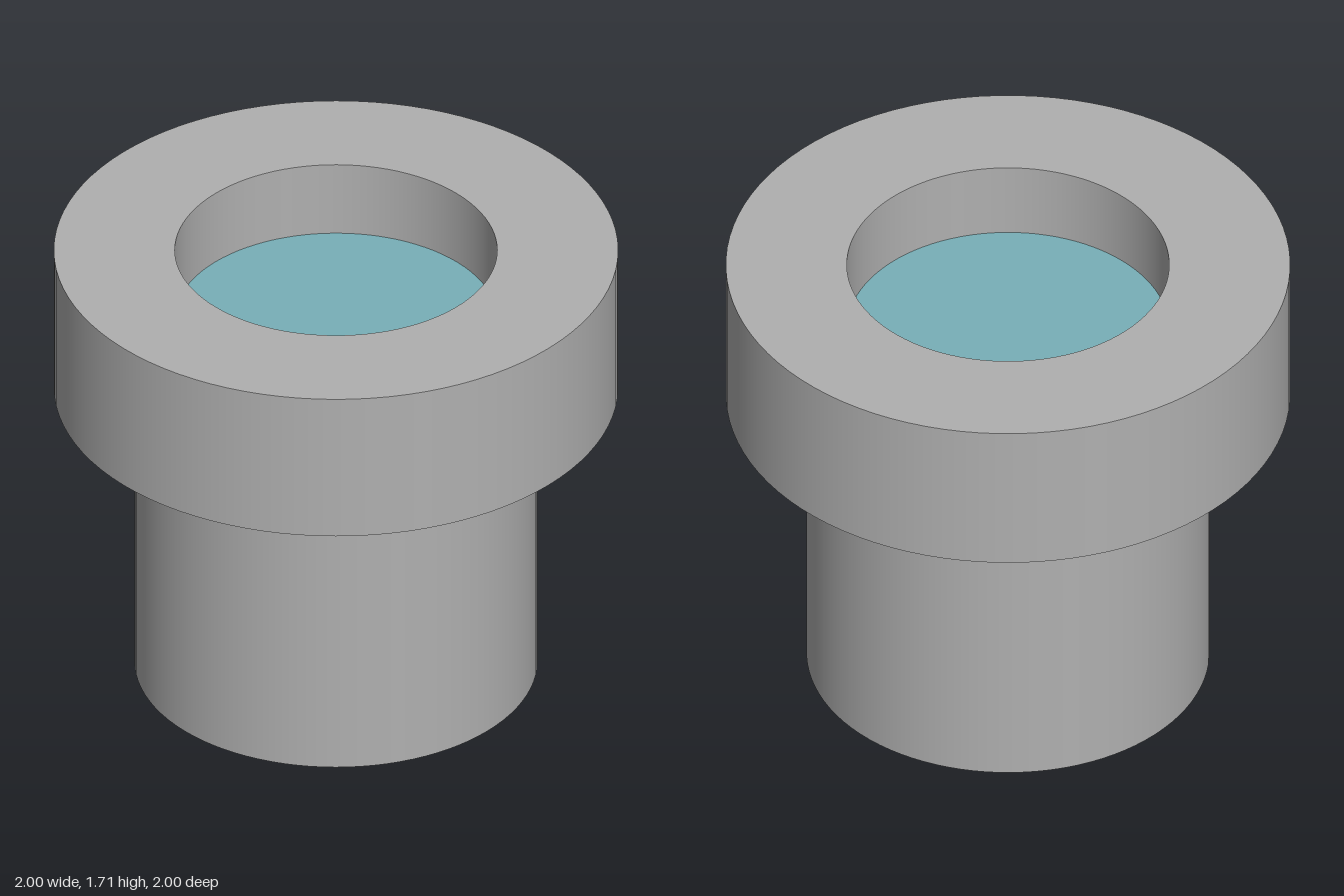
import * as THREE from 'three';
import { mergeGeometries } from 'three/addons/utils/BufferGeometryUtils.js';

const U = 1 / 7; // the rim radius is seven units
const SEGMENTS = 96;

// Turned body with sharp corners: each straight run of the profile gets its own normals
function turned(profile) {
  const bands = [];
  for (let i = 0; i < profile.length - 1; i++) {
    const run = [profile[i], profile[i + 1]].map(([r, y]) => new THREE.Vector2(r * U, y * U));
    bands.push(new THREE.LatheGeometry(run, SEGMENTS));
  }
  return mergeGeometries(bands);
}

export function createModel() {
  const grey = new THREE.MeshStandardMaterial({ color: 0xb0b0b0 });
  grey.name = 'grey metal';
  const teal = new THREE.MeshStandardMaterial({ color: 0x78b0b8 });
  teal.name = 'teal core';

  const model = new THREE.Group();
  model.name = 'flangedSleeve';

  // Sleeve: foot ring, shank, underside of the collar, collar, top ring and bore
  const sleeve = new THREE.Mesh(
    turned([[4, 0], [5, 0], [5, 8], [7, 8], [7, 12], [4, 12], [4, 10]]),
    grey
  );
  sleeve.name = 'sleeve';
  model.add(sleeve);

  // Core: flush with the foot, recessed below the collar top
  const core = new THREE.Mesh(new THREE.CylinderGeometry(4 * U, 4 * U, 10 * U, SEGMENTS), teal);
  core.position.y = 5 * U;
  core.name = 'core';
  model.add(core);

  return model;
}
